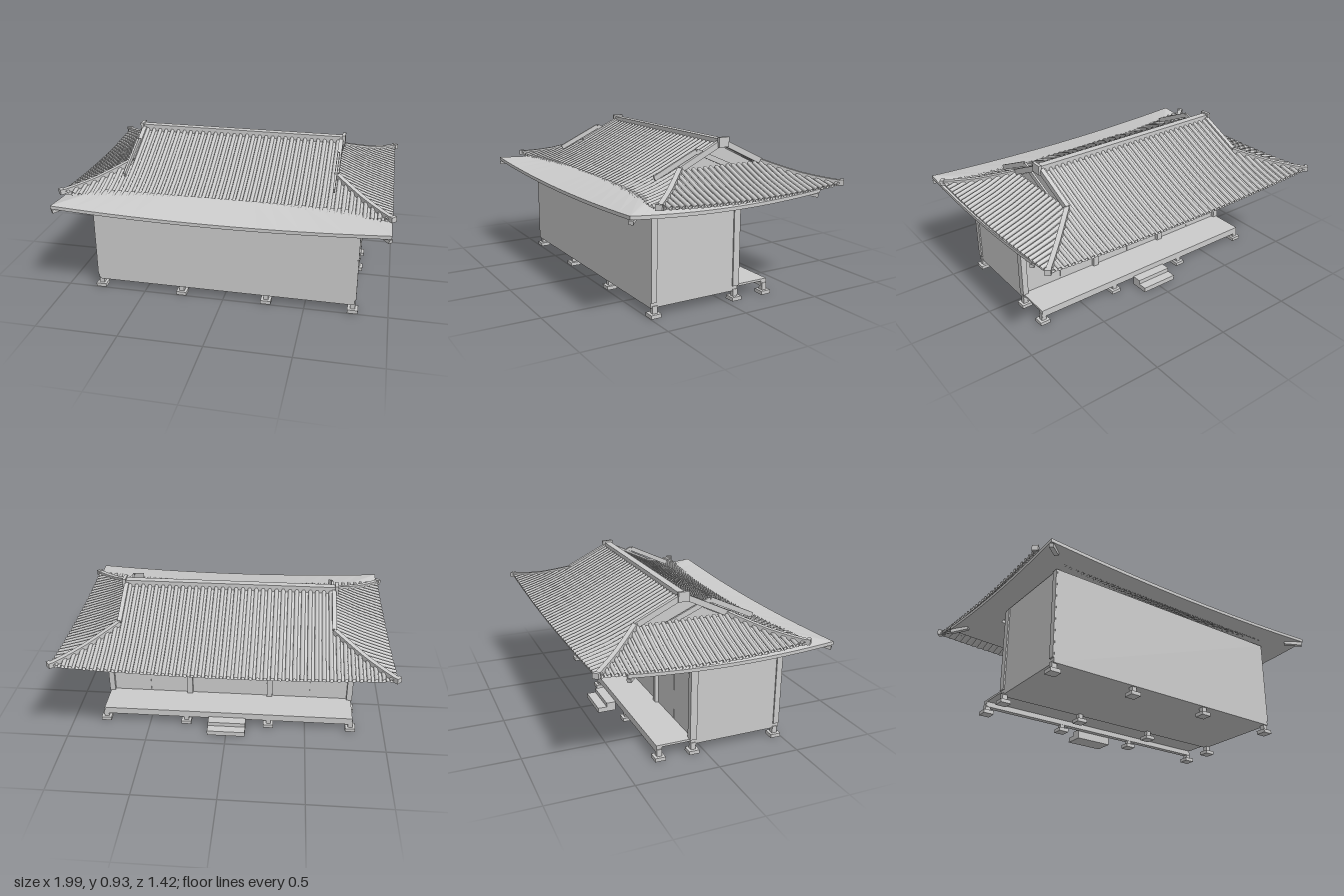
import * as THREE from 'three';

const ZC = -0.075;              // tiled roof centre line
const SHEET_Z = 0.09;           // eave board centre line
const RIDGE_X = 0.635, EAVE_X = 0.975, EAVE_D = 0.615, HIP_D = 0.28;
const POSTS_X = [-0.79, -0.265, 0.265, 0.79];

const mat = new THREE.MeshStandardMaterial({ color: 0xcccccc });
const openMat = new THREE.MeshStandardMaterial({ color: 0xcccccc, side: THREE.DoubleSide });

const V = (x, y, z) => new THREE.Vector3(x, y, z);

// roof height: d = run from the ridge, t = -1..1 along the eave
const PROFILE = [[0, 0.885], [0.14, 0.818], [0.28, 0.75], [0.45, 0.675], [0.615, 0.615]];
function roofY(d, t) {
  let i = 0;
  while (i < PROFILE.length - 2 && d > PROFILE[i + 1][0]) i++;
  const [a, ya] = PROFILE[i], [b, yb] = PROFILE[i + 1];
  const lift = 0.03 * t * t * Math.pow(Math.max(0, d - HIP_D) / (EAVE_D - HIP_D), 2);
  return ya + (yb - ya) * (d - a) / (b - a) + lift;
}
const hipX = d => RIDGE_X + Math.max(0, d - HIP_D) * (EAVE_X - RIDGE_X) / (EAVE_D - HIP_D);
const hipD = x => HIP_D + (x - RIDGE_X) * (EAVE_D - HIP_D) / (EAVE_X - RIDGE_X);
const mainPoint = (x, d, s, up = 0) => V(x, roofY(d, x / EAVE_X) + up, ZC + s * d);
const sidePoint = (z, d, s, up = 0) => V(s * hipX(d), roofY(d, z / EAVE_D) + up, ZC + z);

// surface from a rule on a grid
function gridGeometry(nu, nv, fn) {
  const pos = [], idx = [];
  for (let i = 0; i <= nu; i++)
    for (let j = 0; j <= nv; j++) pos.push(...fn(i / nu, j / nv).toArray());
  for (let i = 0; i < nu; i++)
    for (let j = 0; j < nv; j++) {
      const a = i * (nv + 1) + j, b = a + nv + 1;
      idx.push(a, b, a + 1, b, b + 1, a + 1);
    }
  let g = new THREE.BufferGeometry();
  g.setAttribute('position', new THREE.Float32BufferAttribute(pos, 3));
  g.setIndex(idx);
  g = g.toNonIndexed();
  g.computeVertexNormals();
  return g;
}

export function createModel() {
  const root = new THREE.Group();
  const part = name => {
    const g = new THREE.Group();
    g.name = name;
    root.add(g);
    return g;
  };
  const add = (parent, geo, name, m = mat) => {
    const mesh = new THREE.Mesh(geo, m);
    mesh.name = name;
    parent.add(mesh);
    return mesh;
  };
  // box given by its limits on each axis
  const box = (parent, name, x0, x1, y0, y1, z0, z1) => {
    const b = add(parent, new THREE.BoxGeometry(x1 - x0, y1 - y0, z1 - z0), name);
    b.position.set((x0 + x1) / 2, (y0 + y1) / 2, (z0 + z1) / 2);
    return b;
  };
  // bar of rectangular section between two points
  const bar = (parent, name, a, b, w, h) => {
    const m = add(parent, new THREE.BoxGeometry(w, h, a.distanceTo(b)), name);
    m.position.copy(a).add(b).multiplyScalar(0.5);
    m.lookAt(b);
    return m;
  };
  const chain = (parent, name, pts, w, h) => {
    for (let i = 1; i < pts.length; i++) bar(parent, name, pts[i - 1], pts[i], w, h);
  };

  // footings: three rows of stone pads and short legs
  const base = part('footings');
  for (const z of [0.465, -0.07, -0.28])
    for (const x of POSTS_X) {
      box(base, 'footingPad', x - 0.032, x + 0.032, 0, 0.022, z - 0.032, z + 0.032);
      box(base, 'footingLeg', x - 0.015, x + 0.015, 0.022, 0.065, z - 0.015, z + 0.015);
    }

  // body
  const body = part('body');
  box(body, 'floor', -0.8, 0.8, 0.055, 0.088, -0.085, 0.488);
  box(body, 'frontWall', -0.8, 0.8, 0.055, 0.62, 0.47, 0.49);
  box(body, 'backWall', -0.79, 0.79, 0.085, 0.6, -0.066, -0.052);
  for (const s of [-1, 1]) {
    const w = box(body, 'sideWall', -0.008, 0.008, 0.085, 0.62, -0.07, 0.47);
    w.position.x = s * 0.792;
    const p = box(body, 'frontCornerPost', -0.018, 0.018, 0.085, 0.62, 0.453, 0.489);
    p.position.x = s * 0.79;
  }
  for (const x of POSTS_X) box(body, 'backPost', x - 0.018, x + 0.018, 0.085, 0.61, -0.092, -0.05);
  box(body, 'topBeam', -0.8, 0.8, 0.575, 0.61, -0.09, -0.05);
  box(body, 'lintel', -0.79, 0.79, 0.475, 0.498, -0.084, -0.06);
  for (const x of [-0.5275, 0, 0.5275]) {
    for (const s of [-1, 1]) {
      const c = x + s * 0.123;
      box(body, 'doorPanel', c - 0.121, c + 0.121, 0.088, 0.475, -0.071, -0.064);
    }
  }

  // porch with steps
  const porch = part('porch');
  box(porch, 'porchDeck', -0.8, 0.8, 0.077, 0.09, -0.296, -0.08);
  box(porch, 'porchEdgeBeam', -0.8, 0.8, 0.046, 0.09, -0.297, -0.262);
  box(porch, 'upperStep', -0.12, 0.12, 0, 0.057, -0.36, -0.3);
  box(porch, 'lowerStep', -0.12, 0.12, 0, 0.031, -0.417, -0.36);

  // hanging lanterns
  const lanterns = part('lanterns');
  const lanternProfile = [[0, 0.494], [0.014, 0.496], [0.022, 0.515], [0.026, 0.542], [0.022, 0.57], [0.014, 0.588], [0, 0.59]]
    .map(([r, y]) => new THREE.Vector2(r, y));
  for (const x of [-0.265, 0.265]) {
    add(lanterns, new THREE.LatheGeometry(lanternProfile, 10), 'lantern').position.set(x, 0, -0.265);
    box(lanterns, 'lanternCord', x - 0.002, x + 0.002, 0.588, 0.72, -0.267, -0.263);
  }

  // eave boards: a mitred sloping ring that lifts at the corners
  const eaves = part('eaveBoards');
  const section = [[0, 0], [0, 0.02], [1, 0.02], [1, 0], [0, 0]];   // [inward, up]
  for (const s of [-1, 1])
    for (const along of [true, false]) {
      const geo = gridGeometry(16, 4, (u, v) => {
        const [k, up] = section[Math.round(v * 4)];
        const t = u * 2 - 1;
        const y = 0.585 + k * 0.055 + up + 0.03 * t * t * (1 - k);
        const hx = 0.975 - k * 0.235, hz = 0.615 - k * 0.245;
        return along ? V(t * hx, y, SHEET_Z + s * hz) : V(s * hx, y, SHEET_Z + t * hz);
      });
      add(eaves, geo, 'eaveBoard', openMat);
    }
  for (const sx of [-1, 1])
    for (const sz of [-1, 1])
      bar(eaves, 'cornerRafter', V(sx * 0.89, 0.617, SHEET_Z + sz * 0.53), V(sx * 0.97, 0.598, SHEET_Z + sz * 0.608), 0.025, 0.022);

  // tiled roof: slopes and rows of round tiles
  const roof = part('tiledRoof');
  const rib = pts => add(roof, new THREE.TubeGeometry(new THREE.CatmullRomCurve3(pts), 9, 0.0125, 6), 'tileRow', openMat);
  const STEPS = 6;
  const run = (from, fn) => Array.from({ length: STEPS + 1 }, (_, i) => fn(from + (EAVE_D - from) * i / STEPS));
  for (const s of [-1, 1]) {
    add(roof, gridGeometry(20, 12, (u, v) => {
      const d = v * EAVE_D;
      return mainPoint((u * 2 - 1) * hipX(d), d, s);
    }), 'mainSlope', openMat);
    add(roof, gridGeometry(16, 6, (u, v) => {
      const d = HIP_D + v * (EAVE_D - HIP_D);
      return sidePoint((u * 2 - 1) * d, d, s);
    }), 'sideSlope', openMat);
    for (let i = -23; i <= 23; i++) {
      const x = i * 0.041;
      const from = Math.abs(x) > RIDGE_X ? hipD(Math.abs(x)) : 0.01;
      rib(run(from, d => mainPoint(x, d, s, 0.006)));
    }
    for (let i = -15; i <= 15; i++) {
      const z = i * 0.039;
      rib(run(Math.max(HIP_D, Math.abs(z)), d => sidePoint(z, d, s, 0.006)));
    }
  }

  // gables with offset barge boards
  const gables = part('gables');
  const tri = new THREE.Shape([[-0.28, 0.735], [0.28, 0.735], [0, 0.875]].map(p => new THREE.Vector2(...p)));
  for (const s of [-1, 1]) {
    const g = add(gables, new THREE.ShapeGeometry(tri), 'gableWall', openMat);
    g.rotation.y = Math.PI / 2;
    g.position.set(s * 0.61, 0, ZC);
    const apex = V(s * 0.633, 0.855, 0.098);
    bar(gables, 'bargeBoard', apex, V(s * 0.633, 0.727, 0.37), 0.012, 0.03);
    bar(gables, 'bargeBoard', apex, V(s * 0.633, 0.735, -0.175), 0.012, 0.03);
  }

  // ridges
  const ridges = part('ridges');
  box(ridges, 'topRidge', -0.645, 0.645, 0.865, 0.915, ZC - 0.022, ZC + 0.022);
  for (const sx of [-1, 1]) {
    const end = box(ridges, 'ridgeEnd', -0.01, 0.01, 0.868, 0.926, ZC - 0.034, ZC + 0.034);
    end.position.x = sx * 0.65;
    for (const sz of [-1, 1]) {
      const line = [0.02, 0.14, HIP_D].map(d => mainPoint(sx * RIDGE_X, d, sz, 0.012));
      chain(ridges, 'descendingRidge', line, 0.026, 0.034);
      const hip = run(HIP_D, d => mainPoint(sx * hipX(d), d, sz, 0.01));
      chain(ridges, 'hipRidge', hip, 0.028, 0.03);
      const cap = add(ridges, new THREE.BoxGeometry(0.036, 0.032, 0.022), 'hipEnd');
      cap.position.copy(hip[STEPS]).add(V(0, 0.004, 0));
      cap.rotation.y = sx * sz * Math.PI / 4;
    }
  }
  return root;
}
